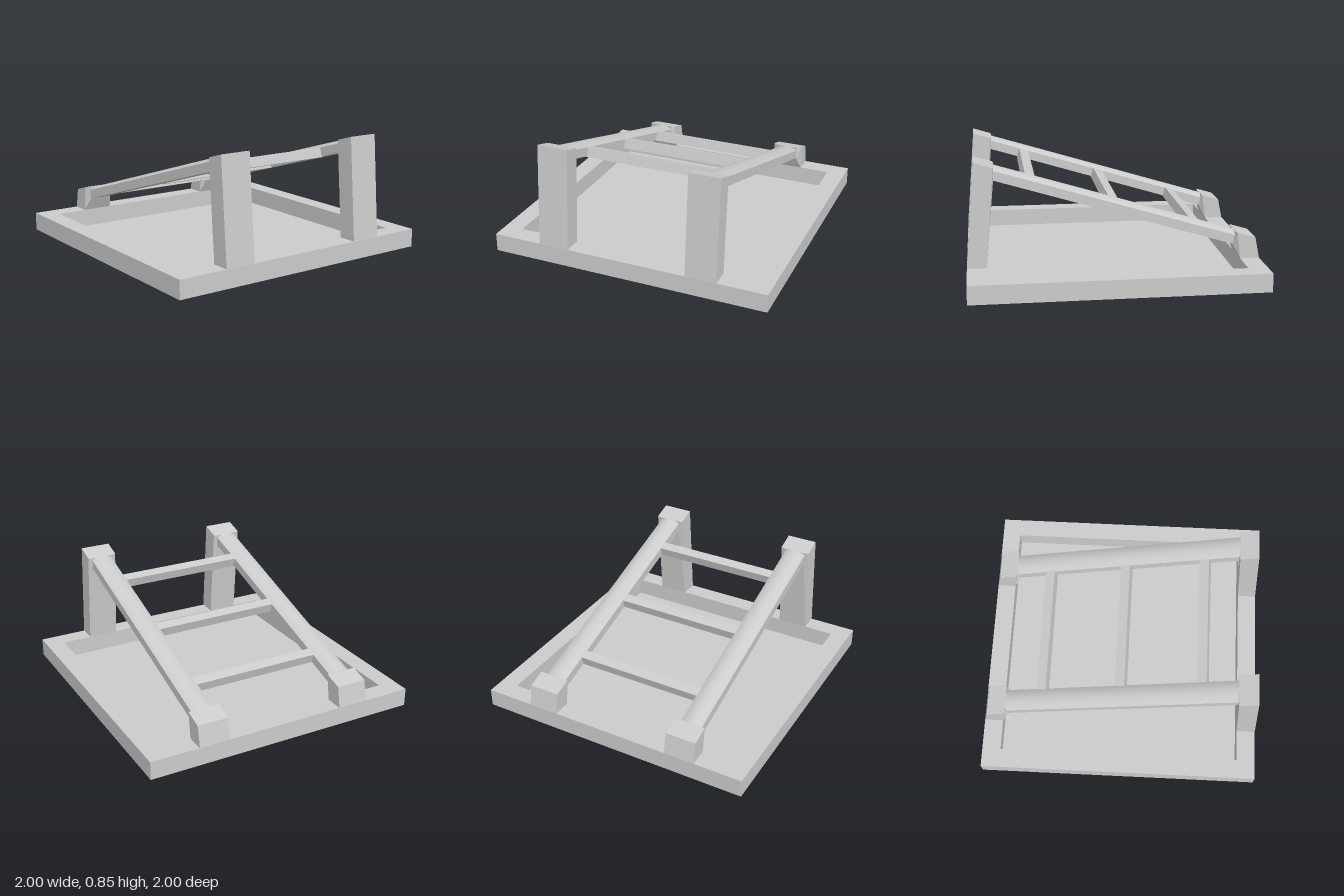
import * as THREE from 'three';
import { toCreasedNormals } from 'three/addons/utils/BufferGeometryUtils.js';

const SLOPE = 0.303;      // rise of the rails per unit of x
const RAIL_Z = 0.54;      // distance of the rails and posts from the centre line
const RAIL_HALF = 0.0775;
const POST_HALF = 0.11;
const railBottom = (x) => 0.475 + SLOPE * x;

const flat = new THREE.MeshStandardMaterial({ color: 0xcccccc, flatShading: true });
const smooth = new THREE.MeshStandardMaterial({ color: 0xcccccc });
const thin = new THREE.MeshStandardMaterial({ color: 0xcccccc, flatShading: true, side: THREE.DoubleSide });

function add(parent, name, geometry, material) {
  const mesh = new THREE.Mesh(geometry, material);
  mesh.name = name;
  parent.add(mesh);
  return mesh;
}

const shapeOf = (points) => new THREE.Shape(points.map(([x, y]) => new THREE.Vector2(x, y)));

// Square tray: rim that is open underneath, with a sunken floor
function trayGeometry() {
  const profile = [[1, 0], [1, 0.13], [0.867, 0.13], [0.867, 0.001], [0, 0.001]];
  const points = profile.map(([r, y]) => new THREE.Vector2(r * Math.SQRT2, y));
  return new THREE.LatheGeometry(points, 4).rotateY(Math.PI / 4).toNonIndexed();
}

// Leaning post: side outline extruded across its width
function postGeometry(outline) {
  return new THREE.ExtrudeGeometry(shapeOf(outline), { depth: 2 * POST_HALF, bevelEnabled: false })
    .translate(0, 0, -POST_HALF);
}

// Four-sided taper between two upright rectangles, from lower x to higher x
function collarGeometry(a, b) {
  const ring = ({ bottom, top, half }) => [
    [...bottom, -half], [...bottom, half], [...top, half], [...top, -half],
  ];
  const A = ring(a), B = ring(b), positions = [];
  for (let i = 0; i < 4; i++) {
    const j = (i + 1) % 4;
    positions.push(...A[i], ...B[i], ...B[j], ...A[i], ...B[j], ...A[j]);
  }
  const geometry = new THREE.BufferGeometry();
  geometry.setAttribute('position', new THREE.Float32BufferAttribute(positions, 3));
  geometry.computeVertexNormals();
  return geometry;
}

// Sloping rail: flat sides and underside, gently rounded top
function railGeometry() {
  const section = [[-RAIL_HALF, 0], [RAIL_HALF, 0]];
  for (let i = 0; i <= 10; i++) {
    const t = 1 - i / 5;
    section.push([RAIL_HALF * t, 0.066 + 0.025 * (1 - t * t)]);
  }
  const geometry = new THREE.ExtrudeGeometry(shapeOf(section), { depth: 1, bevelEnabled: false });
  const p = geometry.attributes.position;
  for (let i = 0; i < p.count; i++) {
    const a = p.getX(i), v = p.getY(i);
    const x = THREE.MathUtils.lerp(-0.82 - 0.22 * v, 0.812, p.getZ(i));
    p.setXYZ(i, x, railBottom(x) + v, -a);
  }
  return toCreasedNormals(geometry, 0.6);
}

export function createModel() {
  const model = new THREE.Group();
  model.name = 'slopingRack';

  add(model, 'tray', trayGeometry(), thin);

  const low = postGeometry([[-1, 0.13], [-0.867, 0.13], [-0.843, 0.315], [-0.97, 0.277]]);
  const tall = postGeometry([[0.867, 0.13], [1, 0.13], [0.94, 0.85], [0.81, 0.811]]);
  const lowCollar = collarGeometry(
    { bottom: [-0.867, 0.13], top: [-0.843, 0.315], half: POST_HALF },
    { bottom: [-0.82, 0.226], top: [-0.838, 0.312], half: RAIL_HALF });
  const tallCollar = collarGeometry(
    { bottom: [0.81, 0.72], top: [0.806, 0.808], half: RAIL_HALF },
    { bottom: [0.867, 0.13], top: [0.81, 0.811], half: POST_HALF });
  const rail = railGeometry();

  // Matching side assemblies
  for (const [name, side] of [['front', 1], ['back', -1]]) {
    const group = new THREE.Group();
    group.name = name + 'Side';
    group.position.z = side * RAIL_Z;
    add(group, 'lowPost', low, flat);
    add(group, 'lowPostCollar', lowCollar, flat);
    add(group, 'tallPost', tall, flat);
    add(group, 'tallPostCollar', tallCollar, flat);
    add(group, 'rail', rail, smooth);
    model.add(group);
  }

  // Rungs between the rails, tilted with the slope
  const rungGeometry = new THREE.BoxGeometry(0.07, 0.07, 2 * (RAIL_Z - RAIL_HALF) + 0.02);
  for (const x of [-0.57, 0, 0.57]) {
    const rung = add(model, 'rung', rungGeometry, flat);
    rung.position.set(x, 0.507 + 0.3 * x, 0);
    rung.rotation.z = Math.atan(SLOPE);
  }

  return model;
}
